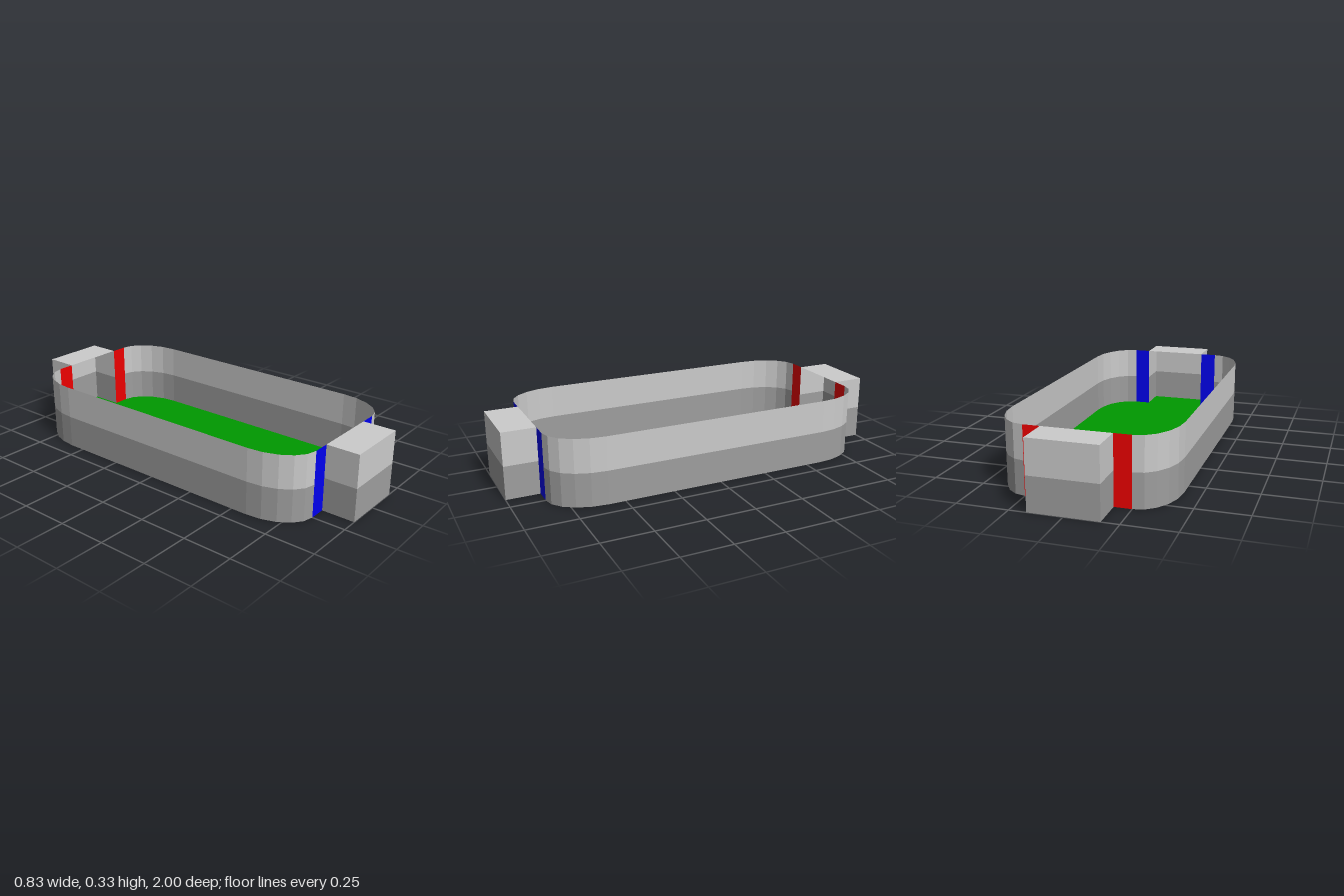
import * as THREE from 'three';

const H = 1 / 3, HALF_W = 5 / 12, HALF_L = 5 / 6; // wall height and field half sizes
const POST = 0.25, MOUTH = 1 / 6, SIDE = 7 / 12, GOAL = 1; // post edges, goal mouth, straight side, goal depth

const paint = (color) =>
  new THREE.MeshStandardMaterial({ color, flatShading: true, side: THREE.DoubleSide });

// Upright thin wall following a path of [x, z] points between two heights
function wall(name, path, y0, y1, material) {
  const pos = [], index = [];
  path.forEach(([x, z], i) => {
    pos.push(x, y0, z, x, y1, z);
    if (i > 0) {
      const a = 2 * (i - 1);
      index.push(a, a + 2, a + 1, a + 1, a + 2, a + 3);
    }
  });
  const geo = new THREE.BufferGeometry();
  geo.setAttribute('position', new THREE.Float32BufferAttribute(pos, 3));
  geo.setIndex(index);
  const flat = geo.toNonIndexed();
  flat.computeVertexNormals();
  const mesh = new THREE.Mesh(flat, material);
  mesh.name = name;
  return mesh;
}

// Horizontal sheet bounded by [x, z] points
function sheet(name, path, y, material) {
  const shape = new THREE.Shape(path.map(([x, z]) => new THREE.Vector2(x, -z)));
  const mesh = new THREE.Mesh(new THREE.ShapeGeometry(shape).rotateX(-Math.PI / 2), material);
  mesh.position.y = y;
  mesh.name = name;
  return mesh;
}

export function createModel() {
  const arena = new THREE.Group();
  arena.name = 'arena';
  const upper = paint(0xcccccc), lower = paint(0x9e9e9e), green = paint(0x009900);
  const teams = { front: paint(0x0000f0), back: paint(0xf00000) };

  // Elliptical corner in five facets, from the goal post to the side line
  const corner = [];
  for (let i = 0; i <= 5; i++) {
    const a = (i / 5) * Math.PI / 2;
    corner.push([POST + (HALF_W - POST) * Math.sin(a), SIDE + (HALF_L - SIDE) * Math.cos(a)]);
  }
  const mirror = (path, sx, sz) => path.map(([x, z]) => [x * sx, z * sz]);

  // Each band is a lower and an upper strip
  const bands = (name, path) => {
    arena.add(wall(name + 'Lower', path, 0, H / 2, lower));
    arena.add(wall(name + 'Upper', path, H / 2, H, upper));
  };

  // Side walls with their rounded corners
  const side = [...corner, ...mirror(corner, 1, -1).reverse()];
  bands('leftWall', side);
  bands('rightWall', mirror(side, -1, 1));

  // Goals: open toward the field, roofed, with coloured posts either side
  const goal = [[MOUTH, HALF_L], [MOUTH, GOAL], [-MOUTH, GOAL], [-MOUTH, HALF_L]];
  for (const [end, sz] of [['front', 1], ['back', -1]]) {
    const outline = mirror(goal, 1, sz);
    bands(end + 'GoalWall', outline);
    arena.add(sheet(end + 'GoalRoof', outline, H, upper));
    for (const [hand, sx] of [['Left', 1], ['Right', -1]]) {
      const strip = mirror([[MOUTH, HALF_L], [POST, HALF_L]], sx, sz);
      arena.add(wall(end + hand + 'GoalPost', strip, 0, H, teams[end]));
    }
  }

  // Field floor, reaching into both goals
  const field = [
    ...goal.slice().reverse(), ...side,
    ...mirror(goal, 1, -1), ...mirror(side, -1, 1).reverse(),
  ];
  arena.add(sheet('field', field, 0, green));

  return arena;
}
